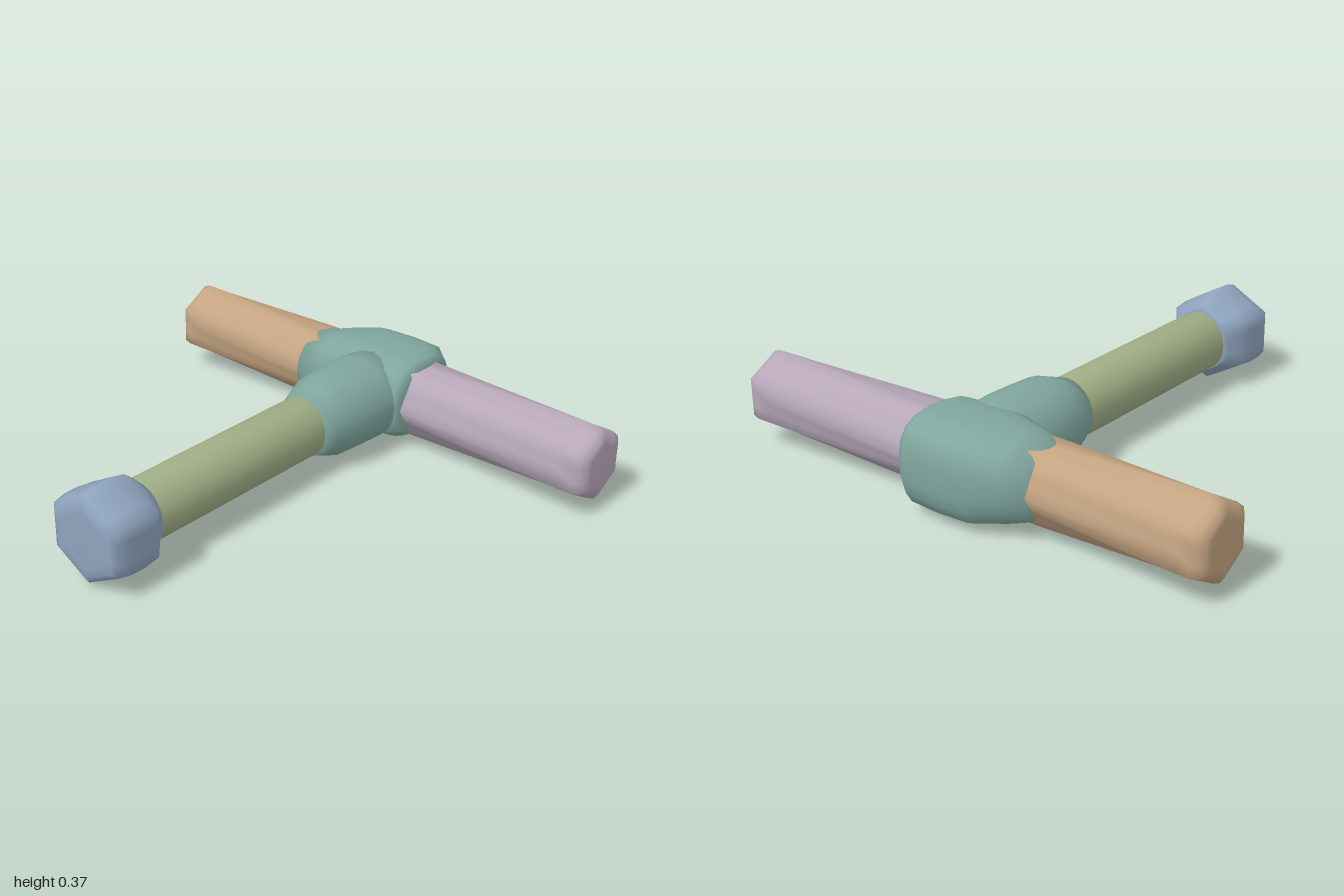
import * as THREE from 'three';

const SIDES = 24;
const CENTRE_Y = 0.187;

// Cross-section shapes: radius multiplier by angle
const round = () => 1;
const hex = (turn) => (a) => {
  const s = Math.PI / 3;
  const d = (((a - turn) % s) + s) % s;
  return Math.cos(s / 2) / Math.cos(d - s / 2);
};
const hexUp = hex(Math.PI / 2);
const hexSide = hex(0);
const soft = (n) => (a) =>
  Math.pow(Math.abs(Math.cos(a)) ** n + Math.abs(Math.sin(a)) ** n, -1 / n);

// Skin rings along +z; ring = [z, centre x, half width, half height, shape]
function loft(rings) {
  const pos = [], index = [];
  for (const [z, cx, rx, ry, shape] of rings) {
    for (let k = 0; k < SIDES; k++) {
      const a = (k / SIDES) * Math.PI * 2, r = shape(a);
      pos.push(cx + rx * r * Math.cos(a), ry * r * Math.sin(a), z);
    }
  }
  for (let i = 0; i < rings.length - 1; i++) {
    for (let k = 0; k < SIDES; k++) {
      const a = i * SIDES + k, b = i * SIDES + ((k + 1) % SIDES);
      index.push(a, b, b + SIDES, a, b + SIDES, a + SIDES);
    }
  }
  // Close both ends
  const last = rings.length - 1;
  const c0 = pos.length / 3;
  pos.push(rings[0][1], 0, rings[0][0], rings[last][1], 0, rings[last][0]);
  for (let k = 0; k < SIDES; k++) {
    const n = (k + 1) % SIDES;
    index.push(c0, n, k, c0 + 1, last * SIDES + k, last * SIDES + n);
  }
  const g = new THREE.BufferGeometry();
  g.setAttribute('position', new THREE.Float32BufferAttribute(pos, 3));
  g.setIndex(index);
  g.computeVertexNormals();
  return g;
}

function material(name, color) {
  const m = new THREE.MeshStandardMaterial({ color });
  m.name = name;
  return m;
}

export function createModel() {
  const model = new THREE.Group();
  model.name = 'teeJointTool';
  const teal = material('teal', 0x7fa69d);
  const tan = material('tan', 0xc4a482);
  const mauve = material('mauve', 0xb7a7b9);
  const green = material('green', 0xa0ad85);
  const blue = material('blue', 0x8ea3bd);

  function add(name, mat, rings, alongX = false) {
    const g = loft(rings);
    if (alongX) g.rotateY(Math.PI / 2);
    g.translate(0, CENTRE_Y, 0);
    const mesh = new THREE.Mesh(g, mat);
    mesh.name = name;
    model.add(mesh);
  }

  // Head: bulging block between the two arms (ring centre is distance to the back)
  add('head', teal, [
    [-0.33, 0.685, 0.142, 0.13, round],
    [-0.23, 0.7, 0.165, 0.15, soft(2.6)],
    [-0.12, 0.715, 0.188, 0.167, soft(3.4)],
    [0.0, 0.716, 0.191, 0.167, soft(3.6)],
    [0.13, 0.714, 0.188, 0.167, soft(3.4)],
    [0.17, 0.702, 0.175, 0.152, soft(2.8)],
    [0.2, 0.685, 0.156, 0.132, soft(2.2)],
  ], true);

  // Collar: tapers from the head down to the shaft
  add('collar', teal, [
    [-0.66, 0, 0.17, 0.16, round],
    [-0.52, 0, 0.178, 0.167, round],
    [-0.41, 0, 0.17, 0.166, round],
    [-0.31, 0, 0.16, 0.163, round],
    [-0.25, 0, 0.138, 0.14, round],
    [-0.195, 0, 0.117, 0.12, round],
  ]);

  // Shaft
  add('shaft', green, [
    [-0.3, 0, 0.114, 0.119, round],
    [0.2, 0, 0.114, 0.119, round],
    [0.7, 0, 0.114, 0.119, round],
  ]);

  // Foot cap: six-sided with softened ends
  add('footCap', blue, [
    [0.65, 0, 0.118, 0.122, round],
    [0.67, 0, 0.137, 0.142, hexUp],
    [0.71, 0, 0.179, 0.174, hexUp],
    [0.78, 0, 0.185, 0.185, hexUp],
    [0.84, 0, 0.185, 0.183, hexUp],
    [0.89, 0, 0.178, 0.168, hexUp],
    [0.905, 0, 0.15, 0.145, hexUp],
    [0.906, 0, 0.11, 0.11, hexUp],
  ]);

  // Arms: six-sided, turning slightly from the head to the rounded tip
  add('leftArm', mauve, [
    [0.1, 0.685, 0.15, 0.148, hexSide],
    [0.2, 0.685, 0.15, 0.148, hexSide],
    [0.9, 0.685, 0.15, 0.152, hexUp],
    [0.95, 0.685, 0.15, 0.152, hexUp],
    [0.98, 0.685, 0.142, 0.142, hexUp],
    [0.998, 0.685, 0.115, 0.115, hexUp],
    [1.0, 0.685, 0.09, 0.09, hexUp],
  ], true);
  add('rightArm', tan, [
    [-1.0, 0.685, 0.09, 0.09, hexUp],
    [-0.998, 0.685, 0.115, 0.115, hexUp],
    [-0.98, 0.685, 0.142, 0.142, hexUp],
    [-0.95, 0.685, 0.148, 0.152, hexUp],
    [-0.9, 0.685, 0.148, 0.152, hexUp],
    [-0.33, 0.685, 0.141, 0.148, hexSide],
    [-0.23, 0.685, 0.141, 0.148, hexSide],
  ], true);

  return model;
}
